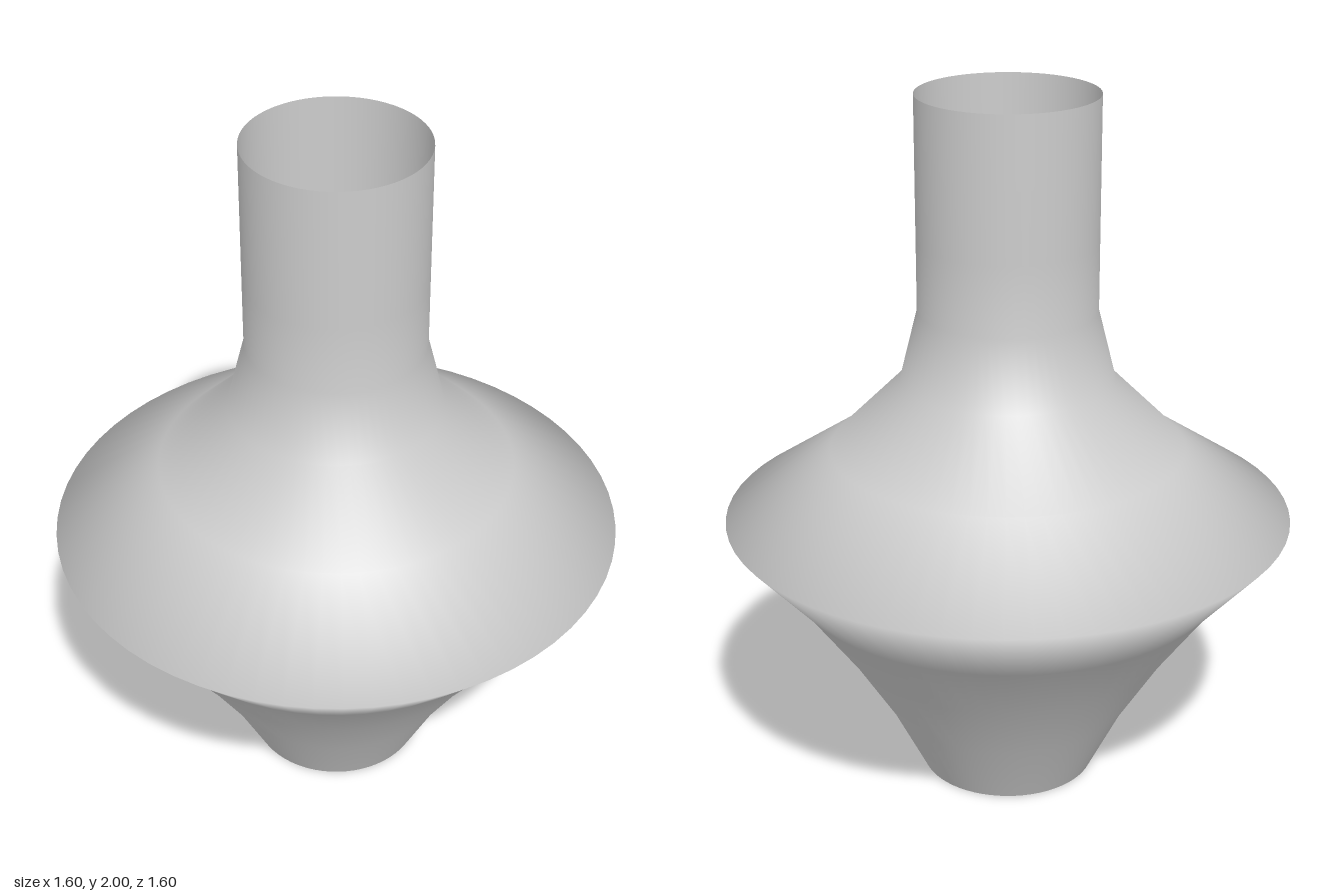
import * as THREE from 'three';

export function createModel() {
  const group = new THREE.Group();

  // Radius at even height steps, from the open foot to the open neck
  const radii = [0.25, 0.35, 0.475, 0.62, 0.8, 0.5, 0.3, 0.25, 0.25, 0.25, 0.25];
  const profile = radii.map((r, i) => new THREE.Vector2(r, i * 0.2));

  // Thin-walled vase, open at both ends
  const vase = new THREE.Mesh(
    new THREE.LatheGeometry(profile, 64),
    new THREE.MeshStandardMaterial({ color: 0xcccccc, side: THREE.DoubleSide })
  );
  vase.name = 'vaseBody';
  group.add(vase);

  return group;
}
